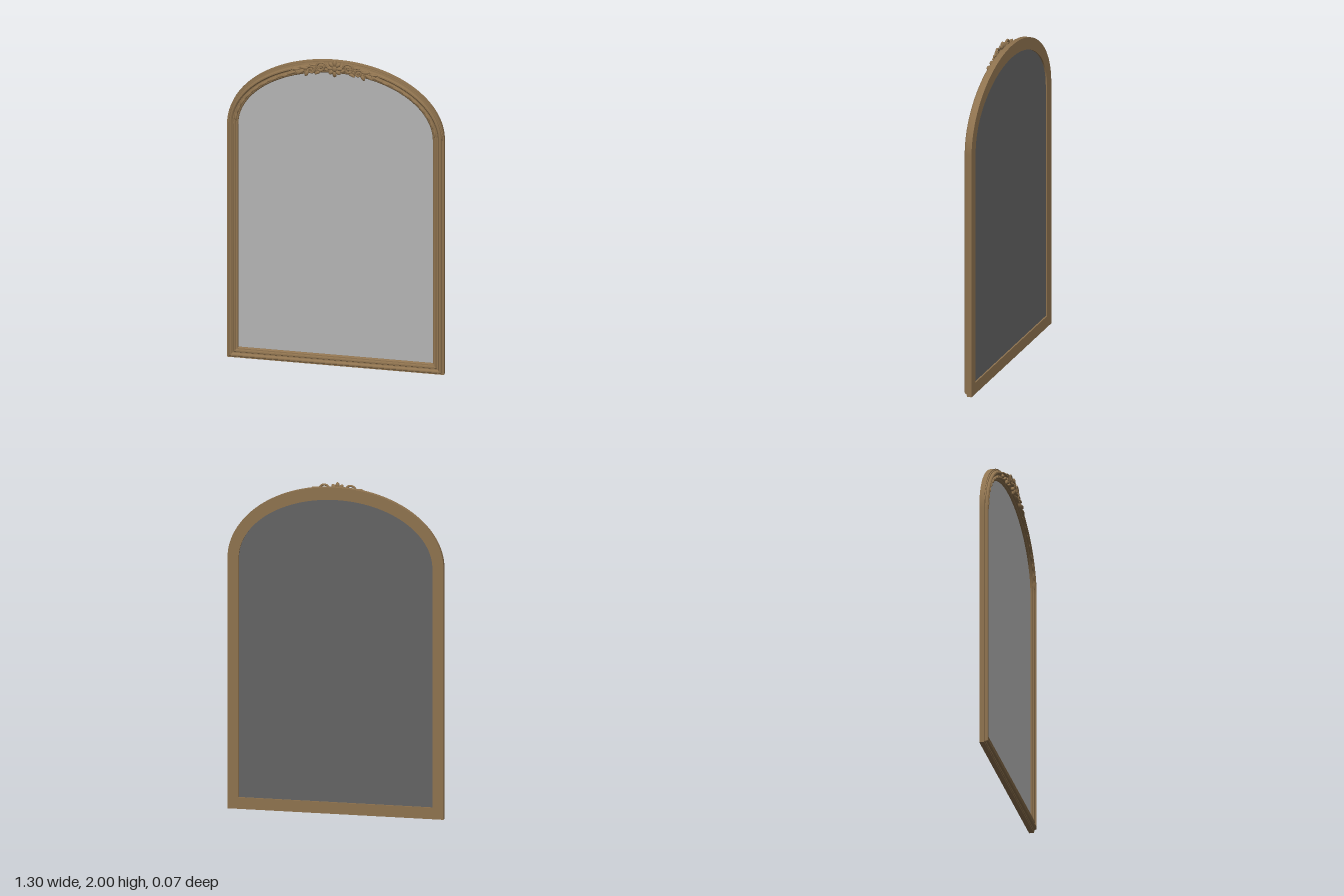
import * as THREE from 'three';
import { toCreasedNormals } from 'three/addons/utils/BufferGeometryUtils.js';

const SPRING = 1.52; // height where the arch begins

// Arched outline, counter-clockwise from the lower right corner
function archOutline(halfWidth, bottom, top, steps = 64) {
  const pts = [new THREE.Vector2(halfWidth, bottom)];
  for (let i = 0; i <= steps; i++) {
    const a = (Math.PI * i) / steps;
    pts.push(new THREE.Vector2(halfWidth * Math.cos(a), SPRING + (top - SPRING) * Math.sin(a)));
  }
  pts.push(new THREE.Vector2(-halfWidth, bottom));
  return pts;
}

// Sweeps a moulding profile of [across, z] round the opening, mitred at the corners
function mouldingGeometry(outer, inner, profile) {
  const pos = [];
  const point = (i, j) => {
    const n = i % outer.length;
    const [t, z] = profile[j % profile.length];
    const p = outer[n].clone().lerp(inner[n], t);
    return [p.x, p.y, z];
  };
  for (let i = 0; i < outer.length; i++) {
    for (let j = 0; j < profile.length; j++) {
      const a = point(i, j), b = point(i + 1, j), c = point(i + 1, j + 1), d = point(i, j + 1);
      pos.push(...a, ...b, ...c, ...a, ...c, ...d);
    }
  }
  const g = new THREE.BufferGeometry();
  g.setAttribute('position', new THREE.Float32BufferAttribute(pos, 3));
  return toCreasedNormals(g, 0.6);
}

// Middle line of the arched rail
const railY = (x) => SPRING + 0.4225 * Math.sqrt(1 - (x / 0.6175) ** 2);
const railAngle = (x) => Math.atan2(railY(x + 0.005) - railY(x - 0.005), 0.01);

export function createModel() {
  const model = new THREE.Group();
  model.name = 'archedMirror';
  const wood = new THREE.MeshStandardMaterial({ color: 0x8f734f });
  wood.name = 'antique gold wood';
  const glass = new THREE.MeshStandardMaterial({ color: 0xb5b5b5 });
  glass.name = 'mirror glass';
  const backing = new THREE.MeshStandardMaterial({ color: 0x646464 });
  backing.name = 'grey backing';

  const add = (parent, name, geometry, material) => {
    const mesh = new THREE.Mesh(geometry, material);
    mesh.name = name;
    parent.add(mesh);
    return mesh;
  };

  // Moulded frame
  const outer = archOutline(0.65, 0, 1.98);
  const inner = archOutline(0.583, 0.07, 1.905);
  const profile = [
    [0, -0.035], [0, -0.006], [0.08, -0.006], [0.09, 0], [0.17, 0.001],
    [0.19, 0.01], [0.26, 0.015], [0.36, 0.016], [0.45, 0.012], [0.5, 0.005],
    [0.58, 0.004], [0.63, 0.009], [0.72, 0.011], [0.8, 0.008], [0.83, 0.001],
    [0.92, 0], [1, -0.006], [1, -0.035],
  ];
  add(model, 'frame', mouldingGeometry(outer, inner, profile), wood);

  // Glass and backing panel
  const opening = new THREE.Shape(inner);
  add(model, 'glass', new THREE.ShapeGeometry(opening), glass).position.z = -0.012;
  const back = add(model, 'backPanel', new THREE.ShapeGeometry(opening), backing);
  back.rotation.y = Math.PI;
  back.position.z = -0.026;

  // Flattened carved lobe, lying on the front of the rail
  const lobeGeometry = new THREE.SphereGeometry(1, 16, 10);
  const lobe = (parent, name, x, y, z, angle, length, width, depth) => {
    const m = add(parent, name, lobeGeometry, wood);
    m.position.set(x, y, z);
    m.rotation.z = angle;
    m.scale.set(length, width, depth);
    return m;
  };

  // Low carved leaves along the inner side of the arch
  const leaves = new THREE.Group();
  leaves.name = 'archLeaves';
  model.add(leaves);
  for (let i = 1; i < 24; i++) {
    const a = (Math.PI * i) / 24;
    if (Math.abs(Math.cos(a)) < 0.4) continue;
    const x = 0.601 * Math.cos(a), y = SPRING + 0.404 * Math.sin(a);
    const tangent = Math.atan2(0.404 * Math.cos(a), -0.601 * Math.sin(a));
    lobe(leaves, 'archLeaf', x, y, 0.008, tangent, 0.026, 0.007, 0.006);
  }

  // Crest at the top of the arch
  const crest = new THREE.Group();
  crest.name = 'crest';
  model.add(crest);

  // Central rosette with a round boss
  for (let i = 0; i < 8; i++) {
    const a = (Math.PI * 2 * i) / 8 + Math.PI / 2;
    lobe(crest, 'rosettePetal', 0.028 * Math.cos(a), 1.947 + 0.033 * Math.sin(a), 0.021, a, 0.02, 0.012, 0.012);
  }
  lobe(crest, 'rosetteBoss', 0, 1.947, 0.023, 0, 0.017, 0.02, 0.012);
  lobe(crest, 'rosetteDrop', 0, 1.902, 0.018, 0, 0.012, 0.012, 0.009);

  // Spiral scroll, mirrored by side
  const scroll = (side, x, y, radius, start, turns, thick, z) => {
    const pts = [];
    for (let i = 0; i <= 24; i++) {
      const t = i / 24;
      const a = start + turns * Math.PI * 2 * t;
      const r = radius * (1 - 0.75 * t);
      pts.push(new THREE.Vector3(side * (x + r * Math.cos(a)), y + r * Math.sin(a), z));
    }
    const curve = new THREE.CatmullRomCurve3(pts);
    add(crest, 'scroll', new THREE.TubeGeometry(curve, 48, thick, 8), wood);
    lobe(crest, 'scrollEye', side * x, y, z, 0, thick * 1.3, thick * 1.3, thick * 1.2);
  };

  for (const side of [1, -1]) {
    // Large and small scrolls
    scroll(side, 0.082, 1.95, 0.034, Math.PI * 0.9, -1.4, 0.007, 0.023);
    scroll(side, 0.142, 1.925, 0.026, Math.PI * 0.2, 1.3, 0.006, 0.02);
    // Stem joining the scrolls to the leaf tips
    const stem = [0.05, 0.11, 0.17, 0.23, 0.285].map(
      (x, i) => new THREE.Vector3(side * x, railY(x) + (i % 2 ? 0.008 : -0.008), 0.017 - i * 0.001));
    add(crest, 'stem', new THREE.TubeGeometry(new THREE.CatmullRomCurve3(stem), 40, 0.006, 8), wood);
    // Leaves fanning off the stem: [x, offset from rail, tilt, length, width]
    const fan = [
      [0.1, -0.024, -0.4, 0.026, 0.009], [0.13, 0.026, 0.2, 0.026, 0.008],
      [0.168, -0.026, -0.9, 0.02, 0.011], [0.185, 0.012, 0.3, 0.026, 0.01],
      [0.205, -0.012, -0.35, 0.028, 0.01], [0.235, 0.012, 0.25, 0.026, 0.008],
      [0.26, -0.008, -0.1, 0.03, 0.008],
    ];
    for (const [x, off, tilt, length, width] of fan) {
      lobe(crest, 'crestLeaf', side * x, railY(x) + off, 0.018, side * (railAngle(x) + tilt), length, width, 0.009);
    }
  }
  return model;
}
